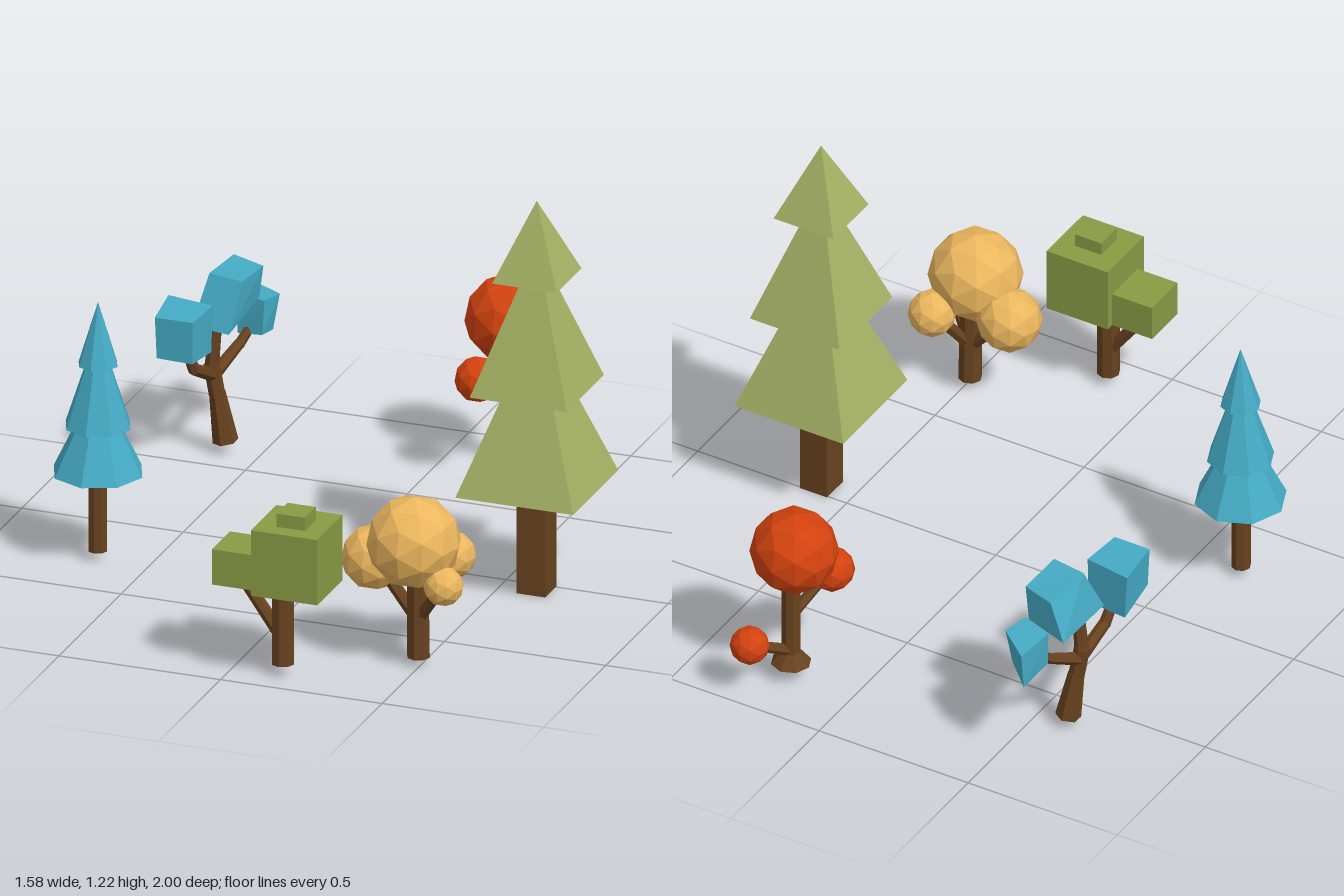
import * as THREE from 'three';

const mat = (color) => new THREE.MeshStandardMaterial({ color, flatShading: true });
const V = (p) => new THREE.Vector3(...p);

export function createModel() {
  const model = new THREE.Group();
  const bark = mat(0x68421f), pineGreen = mat(0xa4b064), blue = mat(0x45abc5);
  const red = mat(0xd2420f), yellow = mat(0xebb65e), green = mat(0x889a44);

  const tree = (name) => {
    const g = new THREE.Group();
    g.name = name;
    model.add(g);
    return g;
  };
  const add = (g, name, geo, material, pos = [0, 0, 0]) => {
    const m = new THREE.Mesh(geo, material);
    m.name = name;
    m.position.set(...pos);
    g.add(m);
    return m;
  };
  // tapered wooden limb between two points
  const limb = (g, name, a, b, r0, r1, sides = 8) => {
    const d = V(b).sub(V(a));
    const m = add(g, name, new THREE.CylinderGeometry(r1, r0, d.length(), sides), bark);
    m.position.copy(V(a)).addScaledVector(d, 0.5);
    m.quaternion.setFromUnitVectors(new THREE.Vector3(0, 1, 0), d.normalize());
    return m;
  };
  const ball = (g, pos, r, material) =>
    add(g, 'foliageBall', new THREE.IcosahedronGeometry(r, 1), material, pos);
  const block = (g, size, pos, material) =>
    add(g, 'foliageBlock', new THREE.BoxGeometry(...size), material, pos);
  // stacked foliage skirts: [base y, base radius, top y, top radius]
  const tiers = (g, x, z, list, sides, turn, material) => {
    for (const [y0, r0, y1, r1] of list) {
      const geo = new THREE.CylinderGeometry(r1, r0, y1 - y0, sides).rotateY(turn);
      add(g, 'foliageTier', geo, material, [x, (y0 + y1) / 2, z]);
    }
  };
  // skewed block: corners go back-left, back-right, front-right, front-left (by x, z)
  const skewBlock = (g, bottom, top, material) => {
    const geo = new THREE.BoxGeometry(1, 1, 1);
    const p = geo.attributes.position;
    for (let i = 0; i < p.count; i++) {
      const right = p.getX(i) > 0;
      const k = p.getZ(i) < 0 ? (right ? 1 : 0) : (right ? 2 : 3);
      p.setXYZ(i, ...(p.getY(i) > 0 ? top : bottom)[k]);
    }
    geo.computeVertexNormals();
    add(g, 'foliageBlock', geo, material);
  };

  // tall square pine
  const pine = tree('squarePine');
  add(pine, 'trunk', new THREE.BoxGeometry(0.09, 0.36, 0.09), bark, [0.608, 0.18, 0.04]);
  const q = Math.SQRT2;
  tiers(pine, 0.608, 0.037, [
    [0.33, 0.182 * q, 0.64, 0.07 * q],
    [0.635, 0.15 * q, 0.985, 0.03 * q],
    [0.98, 0.1 * q, 1.215, 0],
  ], 4, Math.PI / 4, pineGreen);

  // octagonal blue pine
  const bluePine = tree('bluePine');
  limb(bluePine, 'trunk', [-0.656, 0.03, 0.283], [-0.656, 0.3, 0.283], 0.029, 0.029);
  tiers(bluePine, -0.656, 0.28, [
    [0.275, 0.137, 0.425, 0.065],
    [0.42, 0.1, 0.615, 0.036],
    [0.61, 0.06, 0.805, 0],
  ], 8, 0, blue);

  // red ball tree with flared foot
  const redTree = tree('redBallTree');
  limb(redTree, 'foot', [0.205, 0.055, -0.813], [0.205, 0.095, -0.813], 0.06, 0.028);
  limb(redTree, 'trunk', [0.205, 0.08, -0.813], [0.205, 0.4, -0.813], 0.028, 0.028);
  limb(redTree, 'branch', [0.205, 0.22, -0.815], [0.153, 0.316, -0.672], 0.018, 0.014, 6);
  limb(redTree, 'branch', [0.205, 0.1, -0.82], [0.266, 0.173, -0.945], 0.018, 0.014, 6);
  ball(redTree, [0.193, 0.458, -0.815], 0.13, red);
  ball(redTree, [0.153, 0.316, -0.67], 0.068, red);
  ball(redTree, [0.266, 0.173, -0.945], 0.058, red);

  // yellow ball tree
  const yellowTree = tree('yellowBallTree');
  limb(yellowTree, 'trunk', [0.491, 0.025, 0.684], [0.491, 0.32, 0.69], 0.035, 0.033);
  ball(yellowTree, [0.482, 0.388, 0.7], 0.139, yellow);
  for (const [pos, r] of [
    [[0.343, 0.303, 0.657], 0.097],
    [[0.55, 0.305, 0.568], 0.071],
    [[0.593, 0.283, 0.748], 0.059],
  ]) {
    limb(yellowTree, 'branch', [0.49, 0.14, 0.685], pos, 0.02, 0.017, 6);
    ball(yellowTree, pos, r, yellow);
  }

  // green block tree
  const blockTree = tree('blockTree');
  limb(blockTree, 'trunk', [0.153, 0.035, 0.897], [0.153, 0.3, 0.897], 0.034, 0.034);
  limb(blockTree, 'branch', [0.14, 0.13, 0.895], [0.02, 0.29, 0.888], 0.02, 0.018, 6);
  block(blockTree, [0.205, 0.204, 0.205], [0.195, 0.377, 0.894], green);
  block(blockTree, [0.088, 0.06, 0.088], [0.196, 0.49, 0.9], green);
  block(blockTree, [0.14, 0.11, 0.145], [0.028, 0.331, 0.888], green);

  // crooked blue tree
  const crooked = tree('crookedTree');
  limb(crooked, 'trunk', [-0.603, 0.035, -0.607], [-0.625, 0.19, -0.597], 0.038, 0.024, 6);
  limb(crooked, 'trunk', [-0.625, 0.18, -0.597], [-0.64, 0.28, -0.59], 0.024, 0.024, 6);
  limb(crooked, 'branch', [-0.64, 0.26, -0.59], [-0.62, 0.45, -0.588], 0.022, 0.016, 6);
  limb(crooked, 'branch', [-0.635, 0.24, -0.595], [-0.65, 0.3, -0.48], 0.02, 0.018, 6);
  limb(crooked, 'branch', [-0.65, 0.295, -0.482], [-0.665, 0.4, -0.43], 0.018, 0.014, 6);
  limb(crooked, 'branch', [-0.635, 0.24, -0.595], [-0.6, 0.3, -0.71], 0.02, 0.016, 6);
  limb(crooked, 'branch', [-0.6, 0.297, -0.705], [-0.57, 0.37, -0.8], 0.016, 0.013, 6);
  skewBlock(crooked,
    [[-0.73, 0.362, -0.5], [-0.6, 0.36, -0.485], [-0.605, 0.375, -0.345], [-0.715, 0.378, -0.345]],
    [[-0.74, 0.51, -0.505], [-0.593, 0.508, -0.48], [-0.603, 0.505, -0.343], [-0.72, 0.505, -0.343]], blue);
  skewBlock(crooked,
    [[-0.693, 0.435, -0.785], [-0.55, 0.44, -0.74], [-0.552, 0.415, -0.5], [-0.68, 0.41, -0.535]],
    [[-0.64, 0.55, -0.77], [-0.533, 0.545, -0.73], [-0.54, 0.552, -0.58], [-0.65, 0.555, -0.6]], blue);
  skewBlock(crooked,
    [[-0.61, 0.3, -0.87], [-0.53, 0.32, -0.8], [-0.535, 0.33, -0.725], [-0.62, 0.315, -0.75]],
    [[-0.61, 0.42, -0.885], [-0.513, 0.43, -0.81], [-0.53, 0.435, -0.73], [-0.63, 0.435, -0.765]], blue);

  return model;
}
